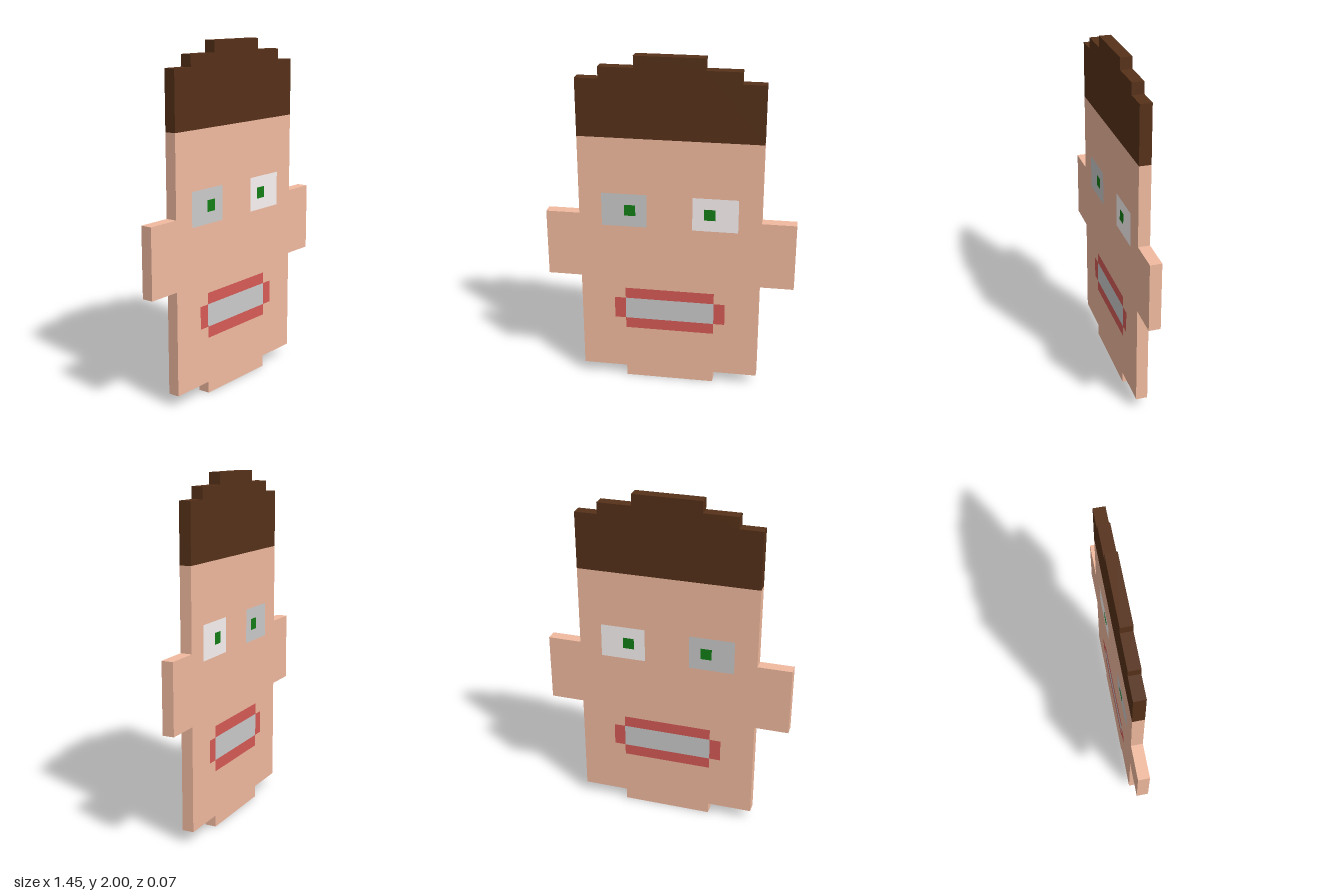
import * as THREE from 'three';

// pixel size across, up and in depth
const UX = 0.066, UY = 2 / 30, DEPTH = 0.067;

const mat = (color) => new THREE.MeshStandardMaterial({ color, flatShading: true });

const points = (list) => list.map(([x, y]) => new THREE.Vector2(x * UX, y * UY));

const rect = (x0, y0, x1, y1) => [[x0, y0], [x1, y0], [x1, y1], [x0, y1]];

// full outline from its right half, listed bottom to top
const mirrored = (half) => [...half, ...half.map(([x, y]) => [-x, y]).reverse()];

// slab of full thickness cut from a pixel outline
function slab(name, outline, material, holes = []) {
  const shape = new THREE.Shape(points(outline));
  for (const hole of holes) shape.holes.push(new THREE.Path(points(hole)));
  const geo = new THREE.ExtrudeGeometry(shape, { depth: DEPTH, bevelEnabled: false });
  geo.translate(0, 0, -DEPTH / 2);
  const mesh = new THREE.Mesh(geo, material);
  mesh.name = name;
  return mesh;
}

export function createModel() {
  const model = new THREE.Group();
  model.name = 'pixelFace';

  const skin = mat(0xf2bba0);
  const hair = mat(0x563119);
  const lip = mat(0xd75b56);
  const iris = mat(0x137f16);
  const grey = mat(0xcccccc);
  const white = mat(0xfbf5f4);

  // inlay outlines
  const eyes = [
    { name: 'rightEye', box: rect(-6, 15, -2, 18), pupil: rect(-4, 16, -3, 17), material: grey },
    { name: 'leftEye', box: rect(2, 15, 6, 18), pupil: rect(3, 16, 4, 17), material: white },
  ];
  const mouth = mirrored([[4, 5], [4, 6], [5, 6], [5, 8], [4, 8], [4, 9]]);
  const teeth = rect(-4, 6, 4, 8);

  // face with chin and ears, cut out for the inlays
  const face = mirrored([[4, 0], [4, 1], [8, 1], [8, 10], [11, 10], [11, 16], [8, 16], [8, 23]]);
  model.add(slab('face', face, skin, [...eyes.map((e) => e.box), mouth]));

  // stepped hair
  model.add(slab('hair', mirrored([[8, 23], [8, 28], [6, 28], [6, 29], [3, 29], [3, 30]]), hair));

  // eyes and pupils
  for (const e of eyes) {
    model.add(slab(e.name, e.box, e.material, [e.pupil]));
    model.add(slab(e.name + 'Pupil', e.pupil, iris));
  }

  // mouth: the lips are four bars round the teeth
  const lips = new THREE.Group();
  lips.name = 'lips';
  lips.add(
    slab('upperLip', rect(-4, 8, 4, 9), lip),
    slab('lowerLip', rect(-4, 5, 4, 6), lip),
    slab('rightMouthCorner', rect(-5, 6, -4, 8), lip),
    slab('leftMouthCorner', rect(4, 6, 5, 8), lip),
  );
  model.add(lips, slab('teeth', teeth, grey));

  return model;
}
